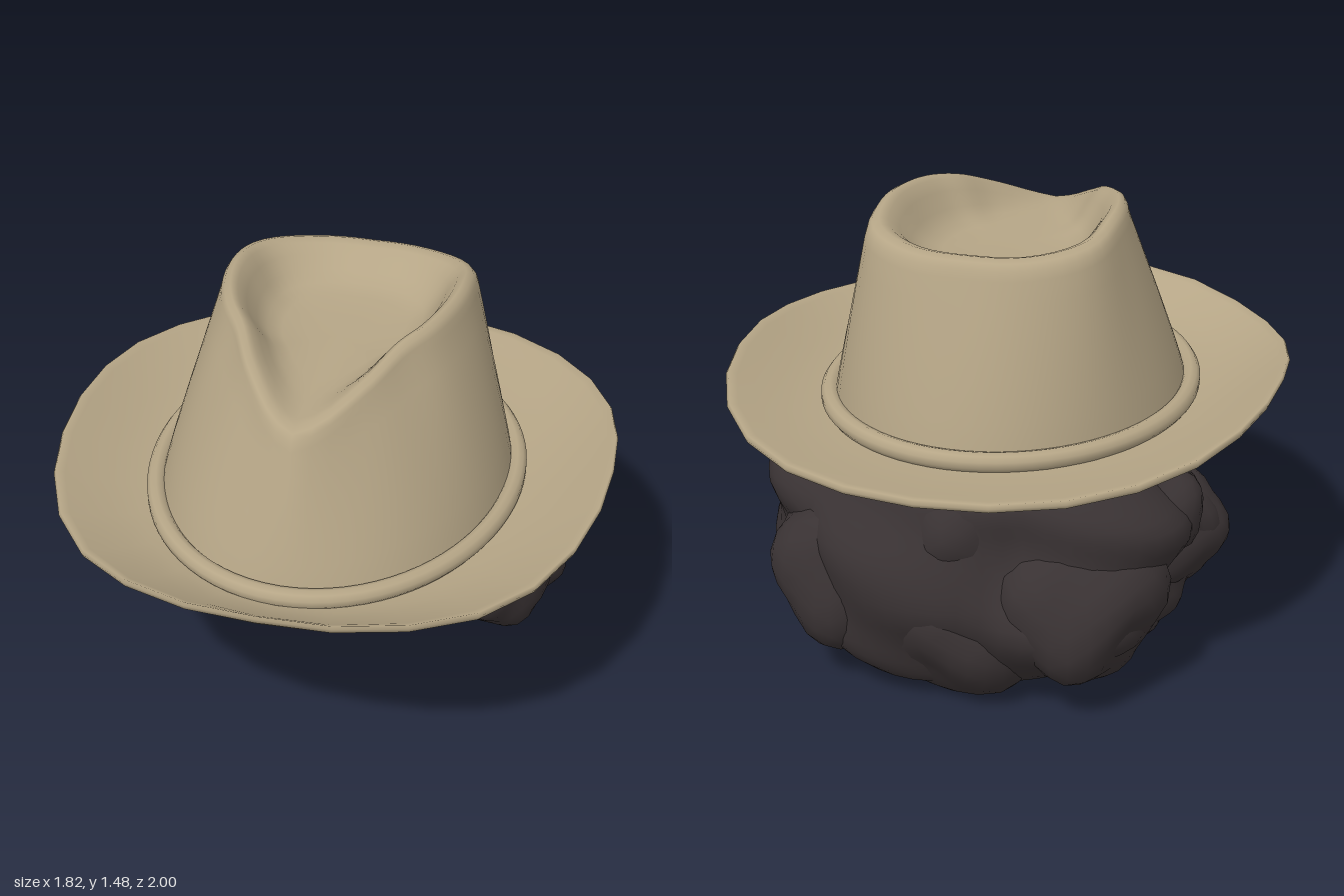
import * as THREE from 'three';
import { mergeVertices } from 'three/addons/utils/BufferGeometryUtils.js';

const felt = new THREE.MeshStandardMaterial({ color: 0xb5a586, side: THREE.DoubleSide });
felt.name = 'tan felt';
const dark = new THREE.MeshStandardMaterial({ color: 0x393233, side: THREE.DoubleSide });
dark.name = 'dark hair';

const { lerp } = THREE.MathUtils;

// Skin a list of closed rings of [x, y, z] points
function loft(rings) {
  const n = rings[0].length;
  const index = [];
  for (let j = 0; j < rings.length - 1; j++) {
    for (let i = 0; i < n; i++) {
      const a = j * n + i, b = j * n + (i + 1) % n;
      index.push(a, b, a + n, b, b + n, a + n);
    }
  }
  const g = new THREE.BufferGeometry();
  g.setAttribute('position', new THREE.Float32BufferAttribute(rings.flat(2), 3));
  g.setIndex(index);
  g.computeVertexNormals();
  return g;
}

// Smooth curve through evenly spaced values, read at 0..1
function spline(values) {
  const curve = new THREE.SplineCurve(values.map((v, i) => new THREE.Vector2(i, v)));
  return (t) => curve.getPoint(t).y;
}

// The same, from front (angle 0) to back (angle PI), mirrored
function byAngle(values) {
  const curve = spline(values);
  return (angle) => curve(Math.acos(THREE.MathUtils.clamp(Math.cos(angle), -1, 1)) / Math.PI);
}

// Polar radius of an oval
function oval(angle, rx, rz, power = 2) {
  const s = Math.abs(Math.sin(angle)) / rx, c = Math.abs(Math.cos(angle)) / rz;
  return (s ** power + c ** power) ** (-1 / power);
}

const baseRadius = (a) => oval(a, 0.578, Math.cos(a) > 0 ? 0.745 : 0.675);
const ridgeRadius = byAngle([0.595, 0.465, 0.38, 0.375, 0.393, 0.44, 0.515, 0.525, 0.51]);
const ridgeHeight = byAngle([1.305, 1.385, 1.445, 1.47, 1.478, 1.472, 1.435, 1.41, 1.405]);
const brimHeight = byAngle([0.95, 0.93, 0.9, 0.92, 0.945, 0.925, 0.88, 0.85, 0.84]);

function polarRing(count, fn) {
  return Array.from({ length: count }, (_, i) => {
    const a = (i / count) * Math.PI * 2;
    const [r, y] = fn(a);
    return [r * Math.sin(a), y, r * Math.cos(a)];
  });
}

function makeCrown() {
  const rings = [];
  // Tapering wall
  for (let j = 0; j <= 8; j++) {
    const t = j / 8;
    rings.push(polarRing(64, (a) => [
      lerp(baseRadius(a), ridgeRadius(a), t ** 1.15),
      lerp(0.79, ridgeHeight(a) - 0.06, t),
    ]));
  }
  // Rounded ridge, then the teardrop dent: [radius scale, drop towards floor]
  const top = [[0.98, -0.03], [0.95, -0.01], [0.9, 0], [0.84, 0.08], [0.77, 0.3],
    [0.69, 0.62], [0.6, 0.85], [0.48, 0.96], [0.25, 1], [0, 1]];
  for (const [s, d] of top) {
    rings.push(polarRing(64, (a) => {
      const h = ridgeHeight(a);
      return [ridgeRadius(a) * s, d <= 0 ? h + d : lerp(h, 1.305, d)];
    }));
  }
  return loft(rings);
}

function makeBrim() {
  // [way out from crown to edge, height above the underside]
  const section = [[0, 0], [0.25, 0], [0.5, 0], [0.75, 0], [0.9, 0], [0.98, 0.003], [1, 0.015],
    [0.98, 0.028], [0.9, 0.03], [0.75, 0.03], [0.5, 0.03], [0.25, 0.03], [0, 0.03]];
  return loft(section.map(([t, up]) => polarRing(28, (a) => [
    lerp(baseRadius(a) - 0.01, oval(a, 0.908, 1, 2.2), t),
    0.772 + up + (brimHeight(a) - 0.802) * t ** 1.5,
  ])));
}

function makeBand() {
  const pts = polarRing(40, (a) => [baseRadius(a) + 0.01, 0.83]).map((p) => new THREE.Vector3(...p));
  return new THREE.TubeGeometry(new THREE.CatmullRomCurve3(pts, true), 80, 0.032, 10, true);
}

// Hair wrapped round the back and sides, open at the face
function makeHairShell() {
  // Profiles from the top row down to the bottom row
  const height = spline([0.82, 0.74, 0.65, 0.55, 0.43, 0.3, 0.17, 0.06, 0.015]);
  const width = spline([0.48, 0.58, 0.65, 0.7, 0.71, 0.68, 0.62, 0.5, 0.36]);
  const back = spline([-0.52, -0.68, -0.75, -0.79, -0.81, -0.84, -0.8, -0.7, -0.56]);
  const front = spline([0.42, 0.36, 0.18, 0.07, 0.03, -0.02, -0.07, -0.14, -0.22]);
  const innerWidth = spline([0.42, 0.46, 0.47, 0.46, 0.44, 0.42, 0.38, 0.34, 0.32]);
  const innerBack = spline([-0.46, -0.52, -0.54, -0.54, -0.52, -0.48, -0.42, -0.36, -0.34]);
  const zc = -0.25, steps = 48, rowCount = 22;
  const arc = (v, w, zb, zf, lump) => Array.from({ length: steps + 1 }, (_, i) => {
    const a = (i / steps) * 2 - 1;
    const phi = THREE.MathUtils.clamp(a / 0.65, -1, 1) * Math.PI / 2;
    const s = Math.max(0, (Math.abs(a) - 0.65) / 0.35);
    // Rounded locks with creases between them, fading out under the hat
    const lock = Math.abs(Math.sin(a * 6.5 + 0.7 + Math.sin(v * 6) * 0.35)) - 0.6;
    const swell = Math.sin(v * 15 + a * 7) * 0.35;
    const k = 1 + lump * Math.min(1, v * 4) * (lock + swell);
    const y = height(v) + 0.08 * Math.sin(phi) ** 2 * Math.max(0, v - 0.6) / 0.4;
    return [w * Math.sin(phi) * (1 - 0.2 * s * s) * k, y,
      s > 0 ? lerp(zc, zf, s) : zc + (zb - zc) * Math.cos(phi) * k];
  });
  return loft(Array.from({ length: rowCount + 1 }, (_, j) => {
    const v = j / rowCount;
    return [
      ...arc(v, width(v), back(v), front(v), 0.14),
      ...arc(v, innerWidth(v), innerBack(v), front(v) - 0.03, 0.06).reverse(),
    ];
  }));
}

// Lumpy ball for one curl of hair
function makeCurl(r, seed) {
  let g = new THREE.IcosahedronGeometry(r, 4);
  g.deleteAttribute('normal');
  g.deleteAttribute('uv');
  g = mergeVertices(g);
  const p = g.attributes.position;
  const v = new THREE.Vector3();
  for (let i = 0; i < p.count; i++) {
    v.fromBufferAttribute(p, i);
    const q = v.clone().divideScalar(r);
    v.multiplyScalar(1 + 0.12 * Math.sin(q.x * 4 + seed) * Math.cos(q.y * 3 + seed * 2) + 0.08 * Math.sin(q.z * 5 - seed));
    p.setXYZ(i, v.x, v.y, v.z);
  }
  g.computeVertexNormals();
  return g;
}

export function createModel() {
  const model = new THREE.Group();
  const hat = new THREE.Group();
  hat.name = 'hat';
  const hair = new THREE.Group();
  hair.name = 'hair';
  model.add(hat, hair);
  const add = (parent, name, geometry, material) => {
    const mesh = new THREE.Mesh(geometry, material);
    mesh.name = name;
    parent.add(mesh);
    return mesh;
  };

  add(hat, 'crown', makeCrown(), felt);
  add(hat, 'brim', makeBrim(), felt);
  add(hat, 'band', makeBand(), felt);

  add(hair, 'hairShell', makeHairShell(), dark);
  const scalp = add(hair, 'scalp', new THREE.SphereGeometry(1, 24, 8, 0, Math.PI * 2, 0, Math.PI / 2), dark);
  scalp.scale.set(0.46, 0.34, 0.48);
  scalp.position.set(0, 0.79, -0.06);

  // Curls: [x, y, z, radius, height scale]
  const curls = [
    [-0.54, 0.43, -0.15, 0.21, 0.9], [-0.42, 0.2, -0.24, 0.17, 0.9], [-0.55, 0.58, -0.28, 0.17, 1],
    [0.52, 0.36, -0.17, 0.19, 1.3], [0.52, 0.22, -0.3, 0.15, 0.9], [0.55, 0.6, -0.32, 0.16, 1],
    [0, 0.26, -0.6, 0.26, 0.95], [-0.36, 0.34, -0.53, 0.27, 1], [0.36, 0.36, -0.52, 0.26, 1],
    [0.03, 0.55, -0.58, 0.22, 0.9],
  ];
  curls.forEach(([x, y, z, r, tall], i) => {
    const curl = add(hair, 'curl', makeCurl(r, i * 1.7), dark);
    curl.position.set(x, y, z);
    curl.scale.y = tall;
  });
  // Swept locks at the temples
  for (const side of [-1, 1]) {
    const lock = add(hair, 'templeLock', makeCurl(0.1, 2), dark);
    lock.scale.set(0.8 * side, 0.8, 2);
    lock.rotation.x = 0.5;
    lock.position.set(side * 0.42, 0.7, 0.15);
    lock.rotation.x = -0.5;
  }
  return model;
}
